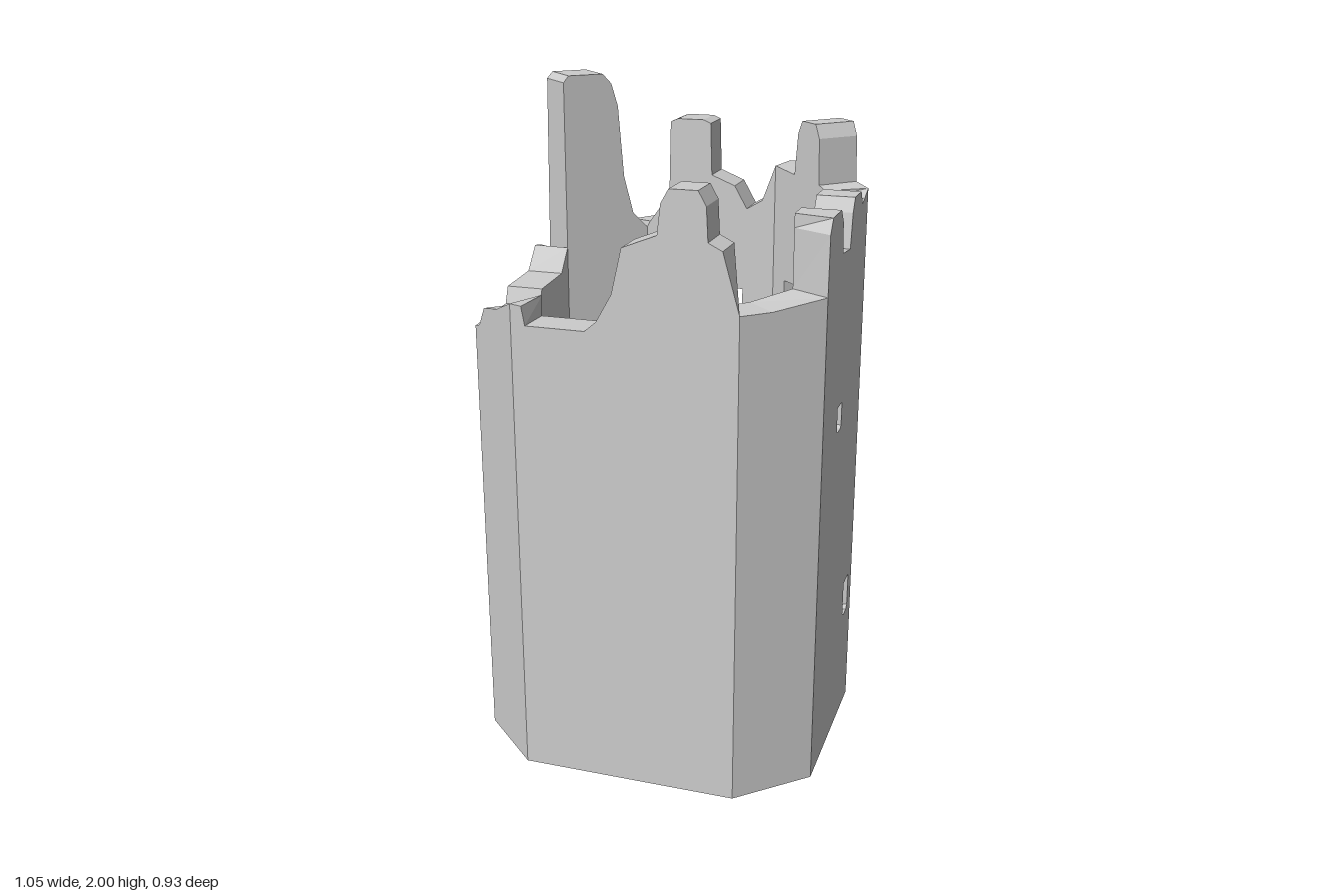
import * as THREE from 'three';

const { clamp } = THREE.MathUtils;

// Octagon corners, starting at the front and going round by the +x side (y holds z)
function octagon(halfX, halfZ, frontX, frontZ, backX, backZ) {
  const side = [[frontX, halfZ], [halfX, frontZ], [halfX, -backZ], [backX, -halfZ]];
  const mirrored = side.map(([x, z]) => [-x, z]).reverse();
  return [mirrored[3], ...side, ...mirrored.slice(0, 3)].map(p => new THREE.Vector2(...p));
}
const OUTER = octagon(0.523, 0.467, 0.328, 0.285, 0.295, 0.24);
const INNER = octagon(0.41, 0.357, 0.28, 0.22, 0.21, 0.165);

// Top-edge points of a worn merlon with rounded shoulders
function merlon(from, to, height, drop = 0.04) {
  const round = (to - from) * 0.18;
  return [[from, height - drop], [from + round, height], [to - round, height], [to, height - drop]];
}

// Window outline with its sill corners cut off; from and to run along the wall
function windowPath(from, to, low, high) {
  const cut = (to - from) * 0.2, rise = (high - low) * 0.1;
  return [[from, low + rise], [from, high], [to, high], [to, low + rise], [to - cut, low], [from + cut, low]];
}

// Extrude wall i with its broken top and windows. Cuts run square through the wall,
// only the ends are mitred. Positions along it are measured on 'x', or 'y' for z.
function wallGeometry(i, axis, top, windows = []) {
  const j = (i + 1) % 8;
  const start = OUTER[i][axis], end = OUTER[j][axis];
  const toPoint = ([c, y]) => new THREE.Vector2((c - start) / (end - start), y);
  const shape = new THREE.Shape([[start, 0], [end, 0], ...top.reverse()].map(toPoint));
  for (const path of windows) shape.holes.push(new THREE.Path(path.map(toPoint)));
  const geometry = new THREE.ExtrudeGeometry(shape, { depth: 1, bevelEnabled: false });
  const pos = geometry.attributes.position;
  const inside = INNER[j].clone().sub(INNER[i]);
  for (let n = 0; n < pos.count; n++) {
    const outer = OUTER[i].clone().lerp(OUTER[j], pos.getX(n));
    const foot = outer.clone().sub(INNER[i]).dot(inside) / inside.lengthSq();
    const p = INNER[i].clone().lerp(INNER[j], clamp(foot, 0, 1)).lerp(outer, pos.getZ(n));
    pos.setXYZ(n, p.x, pos.getY(n), p.y);
  }
  geometry.computeVertexNormals();
  return geometry;
}

// Flat slab from [x, z] corners, with an optional opening
function slabGeometry(corners, bottom, top, opening) {
  const flip = list => list.map(p => new THREE.Vector2(p.x, -p.y));
  const shape = new THREE.Shape(flip(corners));
  if (opening) shape.holes.push(new THREE.Path(flip(opening)));
  return new THREE.ExtrudeGeometry(shape, { depth: top - bottom, bevelEnabled: false })
    .rotateX(-Math.PI / 2).translate(0, bottom, 0);
}

export function createModel() {
  const group = new THREE.Group();
  const material = new THREE.MeshStandardMaterial({ color: 0xcccccc, flatShading: true });
  const add = (name, geometry) => {
    const mesh = new THREE.Mesh(geometry, material);
    mesh.name = name;
    group.add(mesh);
  };

  // Front: low towards -x, climbing to one merlon
  add('frontWall', wallGeometry(0, 'x', [
    [-0.328, 1.46], [-0.295, 1.455], [-0.285, 1.4], [-0.11, 1.4], [-0.075, 1.43], [-0.03, 1.51],
    [0, 1.64], [0.1, 1.68], ...merlon(0.11, 0.235, 1.805), [0.24, 1.67], [0.28, 1.65], [0.328, 1.48]]));

  add('frontRightWall', wallGeometry(1, 'x', [[0.328, 1.48], [0.4, 1.48], [0.523, 1.5]]));

  // Right: two merlons and two small windows
  add('rightWall', wallGeometry(2, 'y', [
    [0.285, 1.5], ...merlon(0.28, 0.11, 1.71), [0.1, 1.58], [0, 1.57],
    ...merlon(-0.02, -0.16, 1.71), [-0.19, 1.68], [-0.24, 1.7]],
  [windowPath(0.09, 0.03, 1.04, 1.12), windowPath(-0.12, -0.19, 0.34, 0.46)]));

  // Back right corner: one narrow merlon
  add('backRightWall', wallGeometry(3, 'y', [
    [-0.24, 1.7], [-0.285, 1.71], ...merlon(-0.29, -0.37, 1.885), [-0.38, 1.72], [-0.467, 1.73]],
  [windowPath(-0.34, -0.41, 1.29, 1.38)]));

  // Back: square merlon, large window and three slits
  add('backWall', wallGeometry(4, 'x', [
    [0.295, 1.73], [0.23, 1.73], [0.17, 1.62], [0.12, 1.59], [0.08, 1.66], [0.005, 1.69],
    ...merlon(0, -0.13, 1.86, 0.01), [-0.135, 1.62], [-0.2, 1.53], [-0.295, 1.51]],
  [windowPath(0.03, -0.165, 1, 1.43), windowPath(0.11, 0.045, 1.22, 1.33),
    windowPath(0.115, 0.045, 0.4, 0.63), windowPath(-0.17, -0.235, 0.51, 0.76)]));

  // Tall remaining corner
  add('backLeftWall', wallGeometry(5, 'x', [
    [-0.295, 1.51], [-0.34, 1.56], [-0.362, 1.68], [-0.375, 1.9], [-0.39, 1.97], [-0.41, 2],
    [-0.49, 2], [-0.503, 1.98], [-0.508, 1.42], [-0.523, 1.4]]));

  // Left: low wall with four small windows
  add('leftWall', wallGeometry(6, 'y', [
    [-0.24, 1.4], [-0.22, 1.46], [-0.17, 1.47], [-0.11, 1.4], [0.05, 1.39], [0.07, 1.34], [0.285, 1.33]],
  [windowPath(0.02, 0.095, 1, 1.11), windowPath(-0.055, -0.02, 0.88, 0.95),
    windowPath(0.055, 0.095, 0.87, 0.93), windowPath(-0.185, -0.11, 0.33, 0.45)]));

  add('frontLeftWall', wallGeometry(7, 'x', [
    [-0.523, 1.33], [-0.5, 1.34], [-0.47, 1.4], [-0.4, 1.42], [-0.328, 1.46]]));

  // Thicker lining of the hollow base, open below
  const opening = OUTER.map(p => p.clone().multiplyScalar(0.63));
  add('baseLining', slabGeometry(INNER, 0, 1.07, opening));

  // Inner floor with a raised quarter and a narrow ledge
  const corners = list => list.map(p => new THREE.Vector2(...p));
  add('floor', slabGeometry(INNER, 1.07, 1.12));
  add('raisedFloor', slabGeometry([
    ...corners([[-0.41, 0.07], [0.01, 0.07], [0.01, -0.357]]), INNER[5], INNER[6]], 1.12, 1.15));
  add('floorLedge', slabGeometry(
    corners([[-0.27, 0.07], [-0.27, 0.32], [-0.25, 0.345], [-0.21, 0.345], [-0.21, 0.07]]), 1.12, 1.15));
  return group;
}
